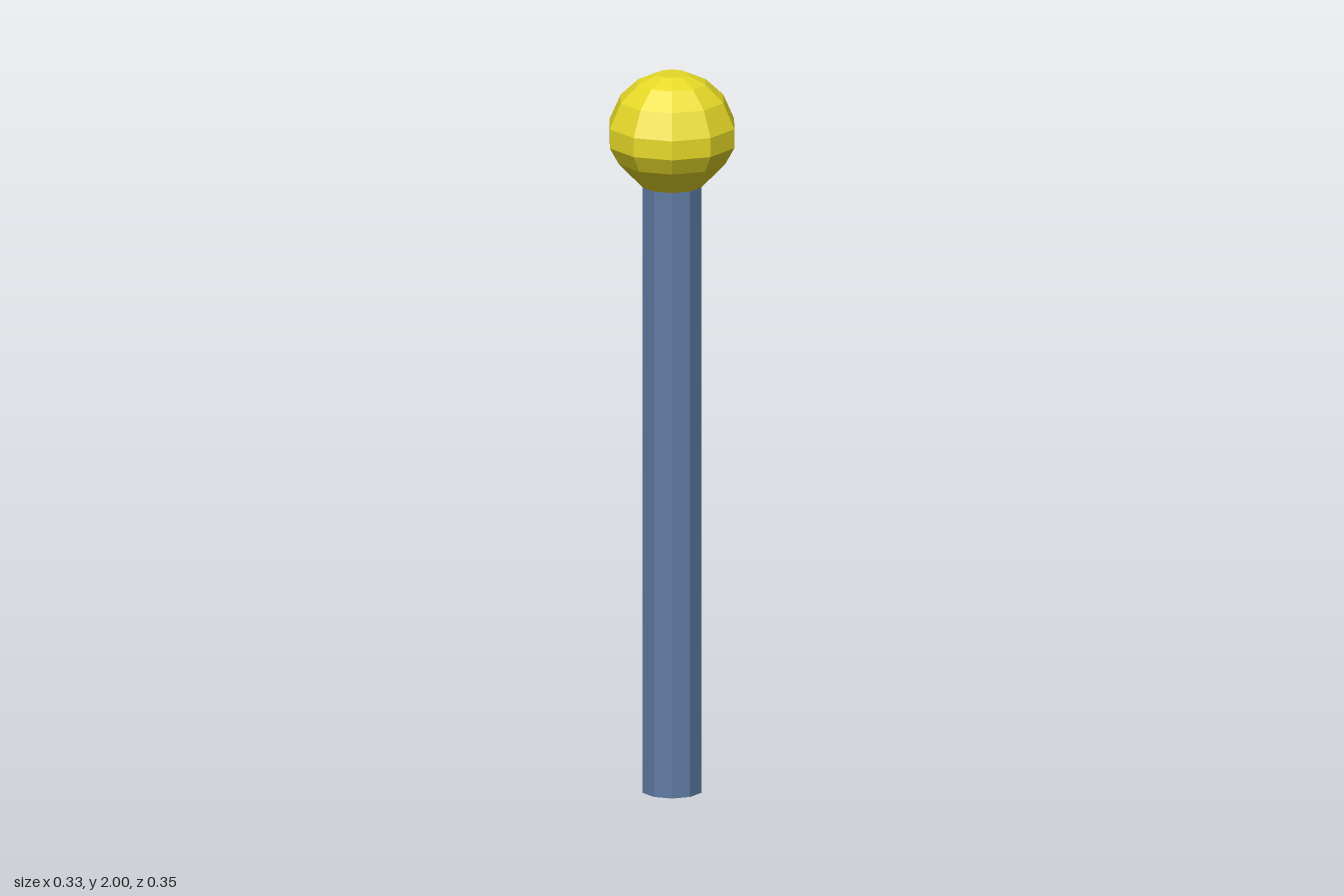
import * as THREE from 'three';

const SIDES = 10;

function part(name, geometry, color) {
  const material = new THREE.MeshStandardMaterial({ color });
  material.flatShading = true;
  const mesh = new THREE.Mesh(geometry, material);
  mesh.name = name;
  return mesh;
}

export function createModel() {
  const model = new THREE.Group();
  model.name = 'knobbedRod';

  // Ten-sided straight shaft, with a corner facing the front
  const height = 1.69;
  const shaft = part('shaft', new THREE.CylinderGeometry(0.083, 0.083, height, SIDES), 0x5f7ba3);
  shaft.position.y = height / 2;
  model.add(shaft);

  // Faceted ball: tapers into the shaft below, flat cap on top
  const profile = [
    [0.083, 1.69], [0.15, 1.76], [0.176, 1.807], [0.176, 1.86],
    [0.145, 1.93], [0.095, 1.977], [0.043, 2], [0, 2],
  ].map(([r, y]) => new THREE.Vector2(r, y));
  model.add(part('ballTop', new THREE.LatheGeometry(profile, SIDES), 0xe6d928));

  return model;
}
